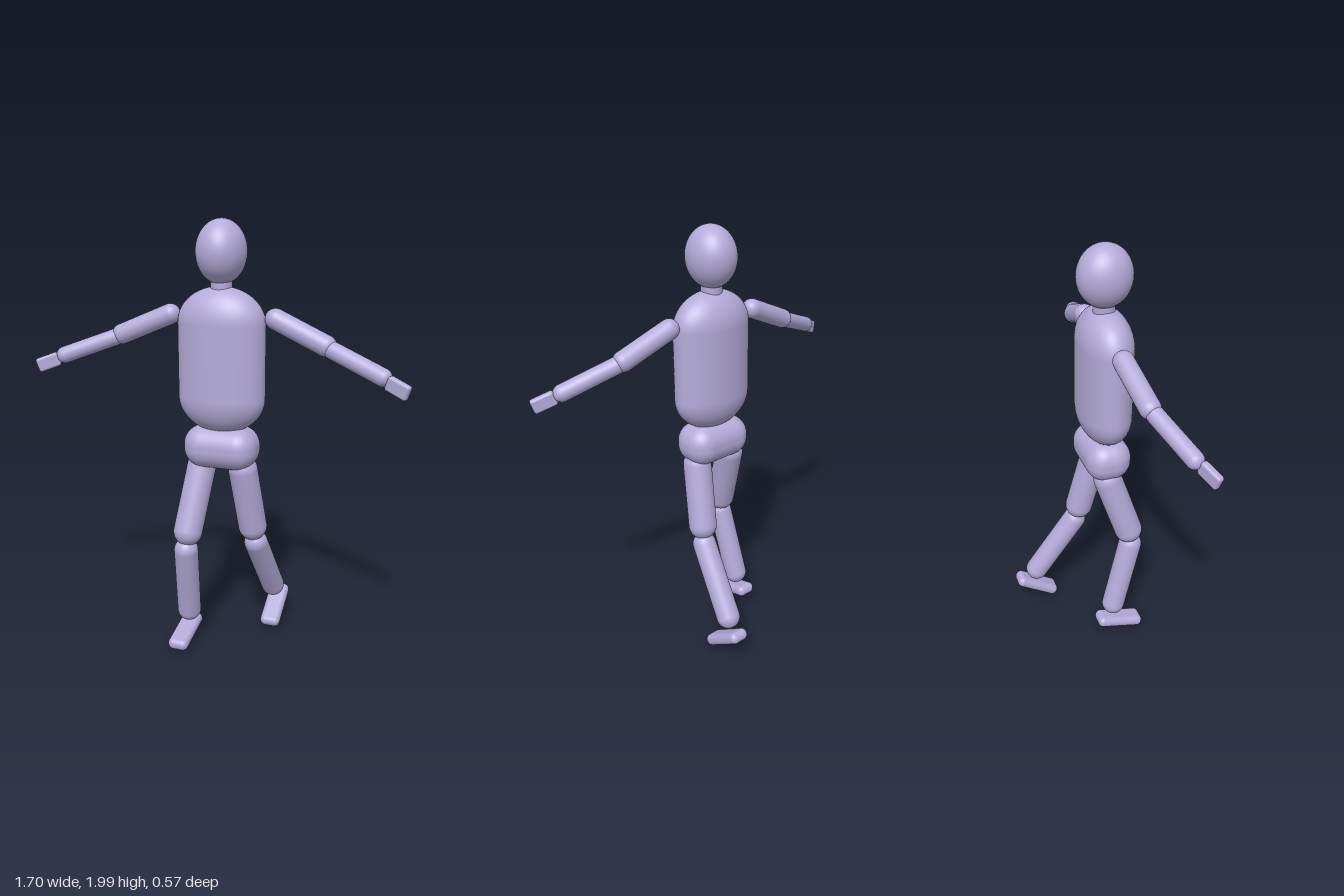
import * as THREE from 'three';
import { RoundedBoxGeometry } from 'three/addons/geometries/RoundedBoxGeometry.js';

export function createModel() {
  const model = new THREE.Group();
  model.name = 'mannequin';
  const lavender = new THREE.MeshStandardMaterial({ color: 0xb4abd8 });
  lavender.name = 'lavender';
  const midZ = 0.11;

  const add = (name, geometry, x, y, z) => {
    const mesh = new THREE.Mesh(geometry, lavender);
    mesh.name = name;
    mesh.position.set(x, y, z);
    model.add(mesh);
    return mesh;
  };

  // Capsule whose end-cap centres sit at points a and b
  const limb = (name, radius, a, b) => {
    const start = new THREE.Vector3(...a), end = new THREE.Vector3(...b);
    const axis = end.clone().sub(start);
    const mid = start.clone().add(end).multiplyScalar(0.5);
    const mesh = add(name, new THREE.CapsuleGeometry(radius, axis.length(), 12, 32), mid.x, mid.y, mid.z);
    mesh.quaternion.setFromUnitVectors(new THREE.Vector3(0, 1, 0), axis.normalize());
    return mesh;
  };

  // Head and neck
  const head = new THREE.SphereGeometry(1, 48, 32);
  head.scale(0.11, 0.138, 0.123);
  add('head', head, 0, 1.862, midZ);
  add('neck', new THREE.CylinderGeometry(0.048, 0.048, 0.12, 32), 0, 1.72, midZ);

  // Torso: flattened capsule
  const torso = new THREE.CapsuleGeometry(0.2, 0.41, 16, 48);
  torso.scale(1, 0.8, 0.6);
  add('torso', torso, 0, 1.394, 0.113);

  // Pelvis
  add('pelvis', new RoundedBoxGeometry(0.34, 0.195, 0.215, 8, 0.09), 0, 1.002, midZ);

  // Arms, mirrored
  for (const [side, s] of [['left', 1], ['right', -1]]) {
    limb(side + 'UpperArm', 0.046, [s * 0.243, 1.587, 0.107], [s * 0.47, 1.49, 0.132]);
    limb(side + 'Forearm', 0.038, [s * 0.5, 1.475, 0.142], [s * 0.725, 1.392, 0.213]);
    const hand = add(side + 'Hand', new RoundedBoxGeometry(0.034, 0.065, 0.105, 4, 0.012), s * 0.793, 1.36, 0.247);
    hand.lookAt(s * 1.03, 1.27, 0.345);
  }

  // Legs in mid stride: left trails, right leads
  const legs = [
    { side: 'left', s: 1, knee: [0.127, 0.605, 0.042], shin: [0.137, 0.515, 0.02], ankle: [0.163, 0.207, -0.18],
      foot: [0.095, -0.182], pitch: 0.56 },
    { side: 'right', s: -1, knee: [0.133, 0.605, 0.205], shin: [0.139, 0.515, 0.216], ankle: [0.165, 0.165, 0.127],
      foot: [0.057, 0.155], pitch: 0.25 },
  ];
  for (const { side, s, knee, shin, ankle, foot, pitch } of legs) {
    const at = ([x, y, z]) => [s * x, y, z];
    limb(side + 'Thigh', 0.067, at([0.1, 0.9, 0.107]), at(knee));
    limb(side + 'Shin', 0.056, at(shin), at(ankle));
    const mesh = add(side + 'Foot', new RoundedBoxGeometry(0.098, 0.056, 0.24, 6, 0.026), s * 0.175, foot[0], foot[1]);
    mesh.rotation.x = pitch;
  }

  return model;
}
